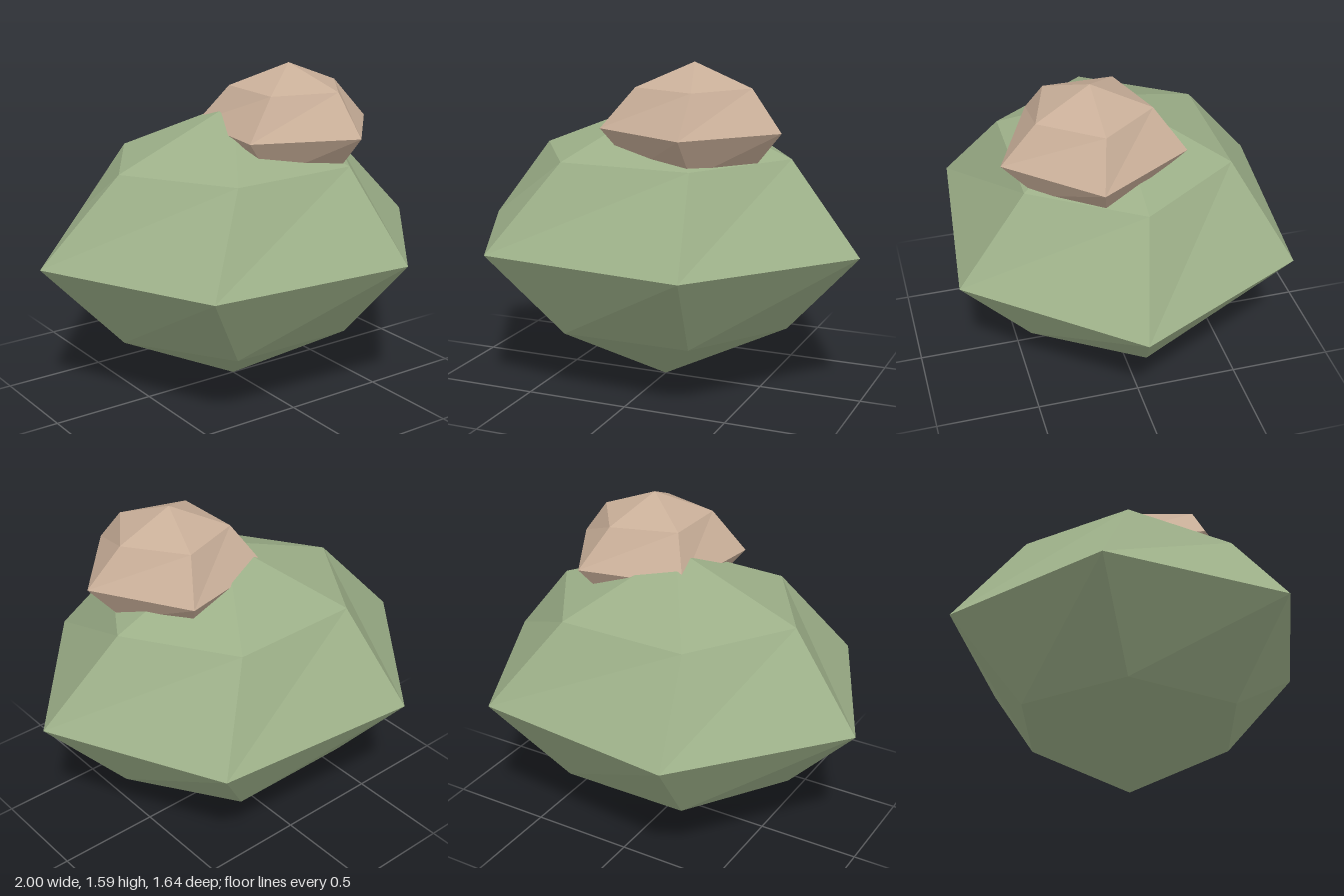
import * as THREE from 'three';

// Faceted stone: polygon rings listed top to bottom as [y, radius, twist], closed by two tips
function stone(name, material, sides, depth, topY, rings, bottomY) {
  const points = rings.map(([y, r, twist]) =>
    Array.from({ length: sides }, (_, k) => {
      const a = (k / sides) * Math.PI * 2 + twist;
      return [Math.cos(a) * r, y, Math.sin(a) * r * depth];
    }));
  const top = [0, topY, 0];
  const bottom = [0, bottomY, 0];
  const positions = [];
  const tri = (...corners) => corners.forEach((c) => positions.push(...c));

  for (let k = 0; k < sides; k++) {
    const n = (k + 1) % sides;
    tri(top, points[0][n], points[0][k]);
    for (let i = 0; i < points.length - 1; i++) {
      const upper = points[i];
      const lower = points[i + 1];
      tri(upper[k], upper[n], lower[n]);
      tri(upper[k], lower[n], lower[k]);
    }
    const last = points[points.length - 1];
    tri(bottom, last[k], last[n]);
  }

  const geometry = new THREE.BufferGeometry();
  geometry.setAttribute('position', new THREE.Float32BufferAttribute(positions, 3));
  geometry.computeVertexNormals();
  const mesh = new THREE.Mesh(geometry, material);
  mesh.name = name;
  return mesh;
}

export function createModel() {
  const sageGreen = new THREE.MeshStandardMaterial({ color: 0x9caf88, flatShading: true });
  sageGreen.name = 'sage green';
  const warmTan = new THREE.MeshStandardMaterial({ color: 0xc8ae98, flatShading: true });
  warmTan.name = 'warm tan';

  const model = new THREE.Group();
  model.name = 'stackedStones';

  // Large six-sided stone, its widest ring slightly twisted
  const largeStone = stone('largeStone', sageGreen, 6, 0.89, 1.395, [
    [1.14, 0.635, 0],
    [0.725, 1.007, 0.115],
    [0.315, 0.63, 0],
  ], 0);

  // Small five-sided stone, sunk a little into the large one
  const smallStone = stone('smallStone', warmTan, 5, 1, 0.3, [
    [0.19, 0.28, 0],
    [0, 0.44, 0.105],
    [-0.19, 0.28, 0],
  ], -0.3);
  smallStone.position.set(0.21, 1.29, 0.155);

  model.add(largeStone, smallStone);
  return model;
}
